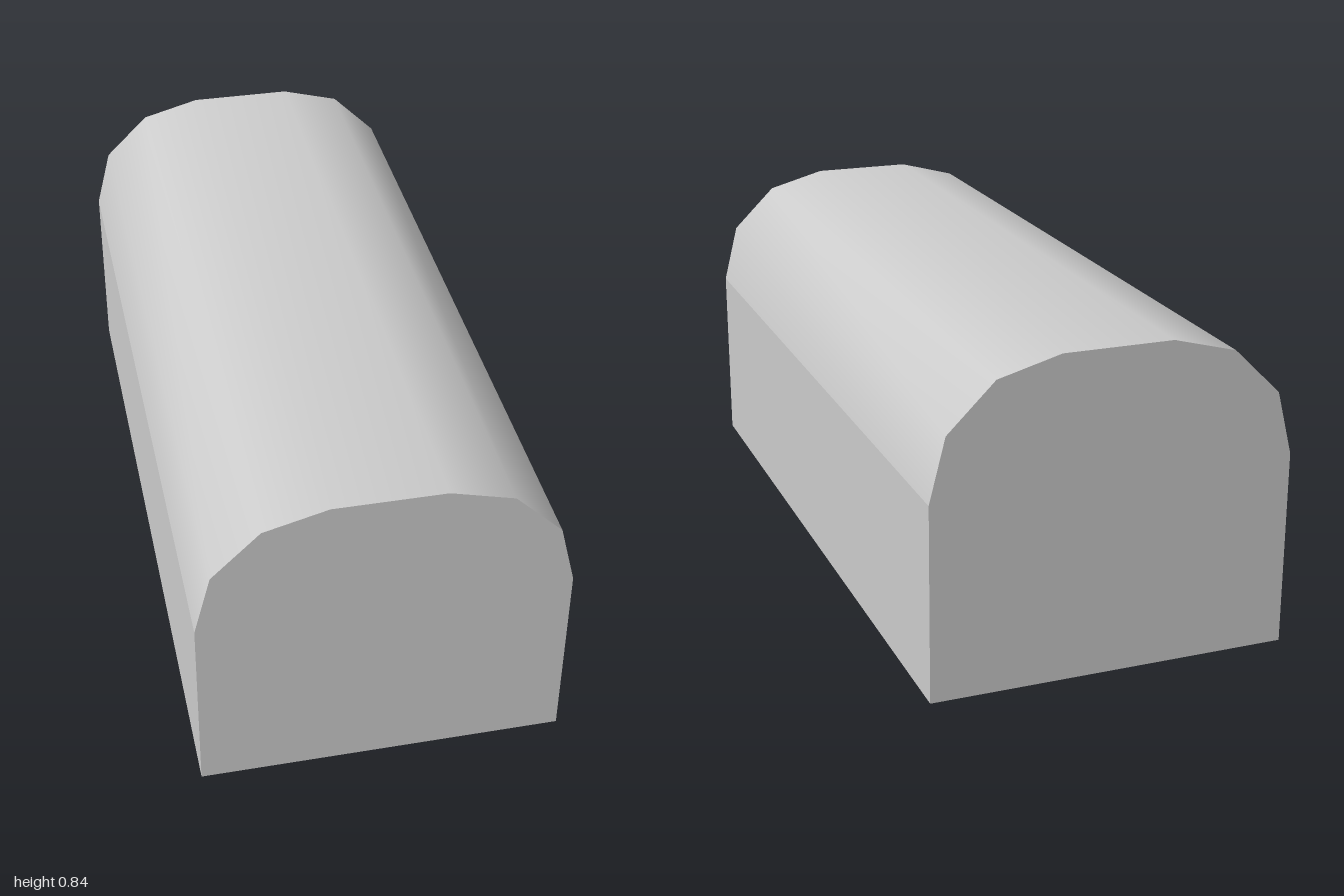
import * as THREE from 'three';

const HALF_LENGTH = 1;
const HALF_WIDTH = 0.47;

// Right half of the arch, from the wall top to the crown
const archHalf = [[HALF_WIDTH, 0.51], [0.428, 0.675], [0.305, 0.796], [0.142, 0.84]];
const arch = [...archHalf, ...archHalf.map(([x, y]) => [-x, y]).reverse()];
const feet = [[-HALF_WIDTH, 0], [HALF_WIDTH, 0]];

// Sweeps an anticlockwise outline along z, with normals smoothed inside the strip
function sweep(points) {
  const positions = [];
  const index = [];
  points.forEach(([x, y], i) => {
    positions.push(x, y, HALF_LENGTH, x, y, -HALF_LENGTH);
    if (i < points.length - 1) {
      const a = i * 2;
      index.push(a, a + 1, a + 2, a + 1, a + 3, a + 2);
    }
  });
  const geometry = new THREE.BufferGeometry();
  geometry.setAttribute('position', new THREE.Float32BufferAttribute(positions, 3));
  geometry.setIndex(index);
  geometry.computeVertexNormals();
  return geometry;
}

export function createModel() {
  const group = new THREE.Group();
  group.name = 'archedBlock';
  const material = new THREE.MeshStandardMaterial({ color: 0xcccccc });

  const add = (name, geometry) => {
    const mesh = new THREE.Mesh(geometry, material);
    mesh.name = name;
    group.add(mesh);
    return mesh;
  };

  // Smooth rounded roof, meeting the walls at a sharp edge
  add('roof', sweep(arch));

  // Flat sides and underside
  add('leftWall', sweep([feet[1], arch[0]]));
  add('rightWall', sweep([arch[arch.length - 1], feet[0]]));
  add('base', sweep(feet));

  // Flat end faces
  const outline = new THREE.Shape([...feet, ...arch].map(([x, y]) => new THREE.Vector2(x, y)));
  add('frontEnd', new THREE.ShapeGeometry(outline)).position.z = HALF_LENGTH;
  const back = add('backEnd', new THREE.ShapeGeometry(outline));
  back.rotation.y = Math.PI;
  back.position.z = -HALF_LENGTH;

  return group;
}
